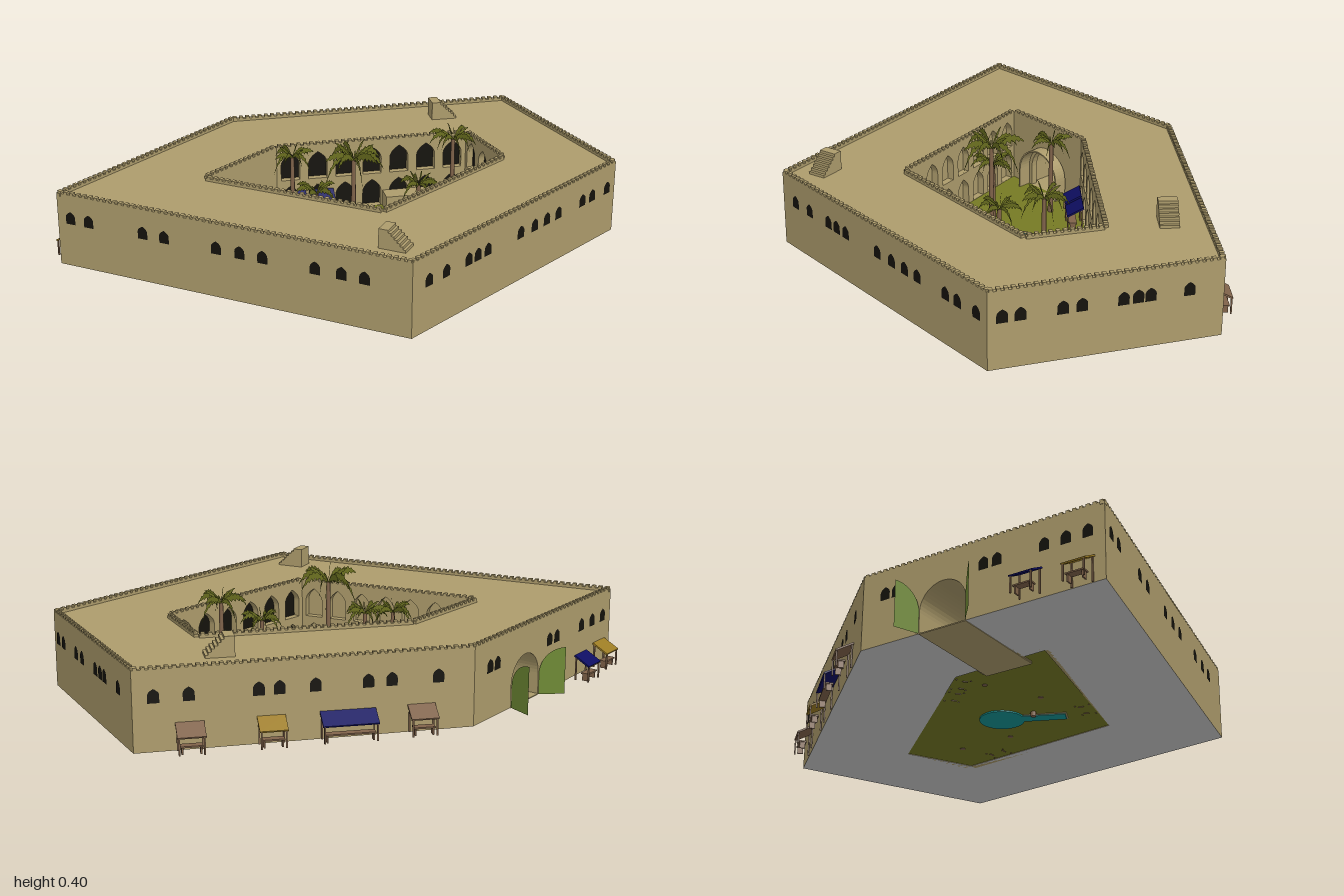
import * as THREE from 'three';
import { mergeGeometries } from 'three/addons/utils/BufferGeometryUtils.js';

const mat = (name, color, side = THREE.FrontSide) => {
  const m = new THREE.MeshStandardMaterial({ color, side });
  m.name = name;
  return m;
};
const M = {
  stone: mat('sandstone', 0xad9c6c, THREE.DoubleSide),
  dark: mat('dark opening', 0x14120c, THREE.DoubleSide),
  base: mat('underside grey', 0xcccccc, THREE.DoubleSide),
  grass: mat('grass', 0x767a24, THREE.DoubleSide),
  leaf: mat('palm leaf', 0x6c7120, THREE.DoubleSide),
  door: mat('green door', 0x6f8a34, THREE.DoubleSide),
  water: mat('water', 0x159696),
  blue: mat('blue cloth', 0x0e0e62),
  yellow: mat('yellow cloth', 0x9c7c24),
  wood: mat('brown wood', 0x80634a),
};

const OUTER = [[-0.985, -0.05], [0.08, 0.73], [0.99, 0.05], [0.79, -0.69], [-0.30, -0.66]];
const INNER = [[-0.46, -0.09], [-0.18, -0.32], [0.54, -0.335], [0.60, -0.08], [0.08, 0.30]];
const FLOOR = 0.015, ROOF = 0.272;
const GATE = { t: 0.35, w: 0.18, h: 0.165 };

function add(parent, name, geo, material, x = 0, y = 0, z = 0) {
  const m = new THREE.Mesh(geo, material);
  m.name = name;
  m.position.set(x, y, z);
  parent.add(m);
  return m;
}
const box = (w, h, d) => new THREE.BoxGeometry(w, h, d);

// Group along the edge p-q: local x runs along it, local z faces out of the wall
function edgeGroup(parent, p, q, name) {
  const g = new THREE.Group(), dx = q[0] - p[0], dz = q[1] - p[1];
  g.name = name;
  g.position.set(p[0], 0, p[1]);
  g.rotation.y = Math.atan2(-dz, dx);
  parent.add(g);
  return [g, Math.hypot(dx, dz)];
}

// Arch outline centred on x, standing on y; pointed or round
function arch(x, y, w, h, pointed = true) {
  const s = new THREE.Shape(), r = w / 2;
  s.moveTo(x - r, y);
  s.lineTo(x + r, y);
  if (pointed) {
    s.lineTo(x + r, y + h * 0.55);
    s.quadraticCurveTo(x + r, y + h * 0.8, x, y + h);
    s.quadraticCurveTo(x - r, y + h * 0.8, x - r, y + h * 0.55);
  } else {
    s.lineTo(x + r, y + h - r);
    s.absarc(x, y + h - r, r, 0, Math.PI, false);
  }
  s.closePath();
  return s;
}
const rect = (x0, y0, x1, y1) => new THREE.Shape(
  [[x0, y0], [x1, y0], [x1, y1], [x0, y1]].map(p => new THREE.Vector2(...p)));
const plan = pts => new THREE.Shape(pts.map(([x, z]) => new THREE.Vector2(x, -z)));
const flat = shape => new THREE.ShapeGeometry(shape, 8).rotateX(-Math.PI / 2);

// Low parapet with a row of small teeth
function parapet(g, len, z) {
  const n = Math.round(len / 0.024), step = len / n;
  const parts = [box(len, 0.01, 0.016).translate(len / 2, ROOF + 0.004, z)];
  for (let i = 0; i < n; i++)
    parts.push(box(step * 0.55, 0.009, 0.016).translate((i + 0.5) * step, ROOF + 0.012, z));
  add(g, 'battlements', mergeGeometries(parts), M.stone);
}

// Market stall: sloping cloth, posts and a table; local z points to the customer
function stall(parent, x, z, angle, w, cloth, y = FLOOR) {
  const g = new THREE.Group();
  g.name = 'marketStall';
  g.position.set(x, y, z);
  g.rotation.y = angle;
  add(g, 'canopy', box(w, 0.006, 0.066), cloth, 0, 0.073, 0).rotation.x = 0.5;
  for (const s of [-1, 1]) {
    add(g, 'frontPost', box(0.005, 0.058, 0.005), M.wood, s * (w / 2 - 0.006), 0.029, 0.026);
    add(g, 'backPost', box(0.005, 0.086, 0.005), M.wood, s * (w / 2 - 0.006), 0.043, -0.024);
    add(g, 'tableLeg', box(0.005, 0.024, 0.02), M.wood, s * (w / 2 - 0.016), 0.012, 0.008);
  }
  add(g, 'table', box(w - 0.02, 0.005, 0.028), M.wood, 0, 0.026, 0.008);
  parent.add(g);
}

// Jagged frond in a vertical plane: out by len, rising, then ending at height end
function frond(len, rise, end) {
  const c = new THREE.QuadraticBezierCurve(new THREE.Vector2(0, 0),
    new THREE.Vector2(len * 0.55, rise), new THREE.Vector2(len, end));
  const up = [], down = [], n = 14;
  for (let i = 0; i <= n; i++) {
    const t = i / n, p = c.getPoint(t);
    const w = len * 0.2 * Math.sin(Math.PI * (0.06 + 0.94 * t)) * (i % 2 ? 1 : 0.45);
    up.push(new THREE.Vector2(p.x + w * 0.3, p.y + w * 0.6));
    down.unshift(new THREE.Vector2(p.x + w * 0.3, p.y - w - 0.001));
  }
  return new THREE.ShapeGeometry(new THREE.Shape([...down, ...up]));
}

function palm(parent, x, z, top, r, foot = FLOOR) {
  const g = new THREE.Group(), crown = top - r * 0.52;
  g.name = 'palmTree';
  g.position.set(x, 0, z);
  add(g, 'trunk', new THREE.CylinderGeometry(0.007, 0.01, crown - foot, 8), M.wood, 0, (crown + foot) / 2, 0);
  const kinds = [[0.95, 0.6, -0.15], [0.6, 0.4, 0.48], [0.85, 0.45, -0.75], [1, 0.5, 0.15]];
  for (let i = 0; i < 14; i++) {
    const [l, rise, end] = kinds[i % 4];
    add(g, 'frond', frond(l * r, rise * r, end * r), M.leaf, 0, crown, 0).rotation.y = i * Math.PI * 2 / 14 + x * 9;
  }
  parent.add(g);
}

// Stair house on the roof: a stepped wedge falling along local x
function roofStair(parent, x, z, angle) {
  const s = new THREE.Shape(), n = 7, L = 0.095, H = 0.068;
  s.moveTo(0, 0);
  s.lineTo(L, 0);
  for (let i = 0; i < n; i++) {
    const h = H * (i + 1) / n;
    s.lineTo(L - i * L * 0.75 / n, h);
    s.lineTo(L - (i + 1) * L * 0.75 / n, h);
  }
  s.lineTo(0, H);
  const geo = new THREE.ExtrudeGeometry(s, { depth: 0.065, bevelEnabled: false });
  add(parent, 'roofStair', geo, M.stone, x, ROOF, z).rotation.y = angle;
}

export function createModel() {
  const root = new THREE.Group();
  root.name = 'fortifiedCourtyard';

  // Roof, underside and lawn
  const ring = plan(OUTER);
  ring.holes.push(plan(INNER));
  add(root, 'roof', flat(ring), M.stone, 0, ROOF, 0);
  add(root, 'underside', flat(ring), M.base, 0, FLOOR, 0);
  add(root, 'lawn', flat(plan(INNER)), M.grass, 0, FLOOR + 0.002, 0);

  // Outer walls with pointed windows (fractions along each wall)
  const windows = [
    [0.04, 0.095, 0.257, 0.32, 0.47, 0.536, 0.6, 0.744, 0.815, 0.876],
    [0.071, 0.148, 0.25, 0.293, 0.34, 0.5, 0.57, 0.632, 0.692, 0.82, 0.873, 0.955],
    [0.06, 0.135, 0.31, 0.39, 0.565, 0.627, 0.68, 0.847],
    [0.06, 0.16, 0.36, 0.42, 0.525, 0.68, 0.75, 0.89],
    [0.1, 0.15, 0.52, 0.575, 0.765, 0.85, 0.935],
  ];
  OUTER.forEach((p, i) => {
    const [g, len] = edgeGroup(root, p, OUTER[(i + 1) % 5], 'outerWall');
    const face = rect(0, FLOOR, len, ROOF);
    if (i === 4) face.holes.push(arch(GATE.t * len, FLOOR + 0.001, GATE.w, GATE.h, false));
    add(g, 'wallFace', new THREE.ShapeGeometry(face, 16), M.stone);
    const shapes = windows[i].map(t => arch(t * len, 0.173, 0.037, 0.046));
    add(g, 'windows', new THREE.ShapeGeometry(shapes, 6), M.dark, 0, 0, 0.002);
    parapet(g, len, -0.008);
    if (i !== 4) return;
    // Gate passage, its floor and two open half-arch doors
    const gx = GATE.t * len;
    const vault = arch(gx, FLOOR, GATE.w + 0.012, GATE.h + 0.006, false);
    vault.holes.push(arch(gx, FLOOR + 0.001, GATE.w, GATE.h, false));
    add(g, 'gatePassage', new THREE.ExtrudeGeometry(vault, { depth: 0.37, bevelEnabled: false }), M.stone, 0, 0, -0.371);
    add(g, 'passageFloor', box(GATE.w, 0.004, 0.38), M.stone, gx, FLOOR, -0.19);
    for (const s of [-1, 1]) {
      const leaf = new THREE.Shape(), r = GATE.w / 2;
      leaf.moveTo(0, 0);
      leaf.lineTo(r, 0);
      leaf.lineTo(r, GATE.h);
      leaf.absarc(r, GATE.h - r, r, Math.PI / 2, Math.PI, false);
      const d = add(g, 'gateDoor', new THREE.ShapeGeometry(leaf, 12), M.door, gx + s * r, FLOOR, 0.002);
      d.rotation.y = s < 0 ? -1.95 : -0.85;
    }
  });

  // Courtyard walls: two tiers of recessed arches, plus the gate exit
  INNER.forEach((p, i) => {
    const [g, len] = edgeGroup(root, p, INNER[(i + 1) % 5], 'courtyardWall');
    const face = rect(0, FLOOR, len, ROOF), n = Math.round(len / 0.1);
    if (i === 0) face.holes.push(arch(len * 0.53, FLOOR + 0.001, GATE.w, GATE.h, false));
    else for (let k = 0; k < n; k++) for (const y of [FLOOR + 0.003, 0.147])
      face.holes.push(arch((k + 0.5) * len / n, y, len / n * 0.68, 0.105));
    const geo = new THREE.ExtrudeGeometry(face, { depth: 0.025, bevelEnabled: false, curveSegments: 8 });
    add(g, 'arcade', geo, M.stone, 0, 0, -0.025);
    if (i > 0) add(g, 'arcadeBack', new THREE.PlaneGeometry(len, ROOF - FLOOR - 0.002),
      i === 4 ? M.stone : M.dark, len / 2, (ROOF + FLOOR) / 2, -0.026);
    parapet(g, len, -0.008);
  });

  // Raised terraces against the courtyard walls
  const terraces = [
    [[0.22, -0.325], [0.535, -0.33], [0.55, -0.255], [0.22, -0.255]],
    [[0.08, 0.295], [0.02, 0.255], [0.10, 0.20], [0.28, 0.065], [0.315, 0.125]],
  ];
  for (const t of terraces) {
    const geo = new THREE.ExtrudeGeometry(plan(t), { depth: 0.06, bevelEnabled: false }).rotateX(-Math.PI / 2);
    add(root, 'terrace', geo, M.stone, 0, FLOOR + 0.003, 0);
  }

  // Round pool with stone rims and a straight channel
  const pool = new THREE.Group();
  pool.name = 'pool';
  pool.position.set(0.13, 0, -0.08);
  add(pool, 'poolWater', new THREE.CylinderGeometry(0.08, 0.08, 0.012, 32), M.water, 0, 0.018, 0);
  for (const [r, y] of [[0.082, 0.024], [0.056, 0.028]])
    add(pool, 'poolRim', new THREE.TorusGeometry(r, 0.005, 6, 32).rotateX(Math.PI / 2), M.stone, 0, y, 0);
  add(pool, 'basin', new THREE.CylinderGeometry(0.054, 0.054, 0.012, 32), M.water, 0, 0.022, 0);
  const channel = new THREE.Group();
  channel.name = 'channel';
  channel.rotation.y = -0.42;
  add(channel, 'channelWater', box(0.046, 0.012, 0.155), M.water, 0, 0.0178, 0.15);
  for (const s of [-1, 1]) add(channel, 'channelRim', box(0.006, 0.014, 0.15), M.stone, s * 0.026, 0.022, 0.155);
  add(channel, 'channelEnd', box(0.058, 0.014, 0.006), M.stone, 0, 0.022, 0.23);
  pool.add(channel);
  root.add(pool);

  // Palms: x, z, top, frond reach, foot
  palm(root, 0.04, 0.01, 0.405, 0.115, 0);
  palm(root, 0.44, -0.15, 0.38, 0.09);
  palm(root, -0.14, -0.21, 0.325, 0.08);
  palm(root, -0.09, 0.0, 0.27, 0.085);
  palm(root, 0.28, -0.01, 0.265, 0.08);

  // Stalls outside the back wall, beside the gate and in the courtyard
  stall(root, -0.125, -0.693, Math.PI, 0.09, M.wood);
  stall(root, 0.115, -0.702, Math.PI, 0.18, M.blue);
  stall(root, 0.36, -0.708, Math.PI, 0.09, M.yellow);
  stall(root, 0.615, -0.715, Math.PI, 0.09, M.wood);
  const side = Math.atan2(-0.61, -0.68);
  stall(root, -0.83, -0.255, side, 0.085, M.blue);
  stall(root, -0.945, -0.125, side, 0.085, M.yellow);
  stall(root, -0.12, -0.288, 0, 0.092, M.blue);
  stall(root, -0.015, -0.288, 0, 0.092, M.blue);
  stall(root, 0.45, -0.01, Math.PI + 0.64, 0.09, M.yellow);
  stall(root, -0.03, 0.18, Math.PI - 0.63, 0.09, M.wood);

  // Stair houses on the roof
  roofStair(root, 0.455, -0.58, 0);
  roofStair(root, 0.04, 0.53, -0.63);
  return root;
}
